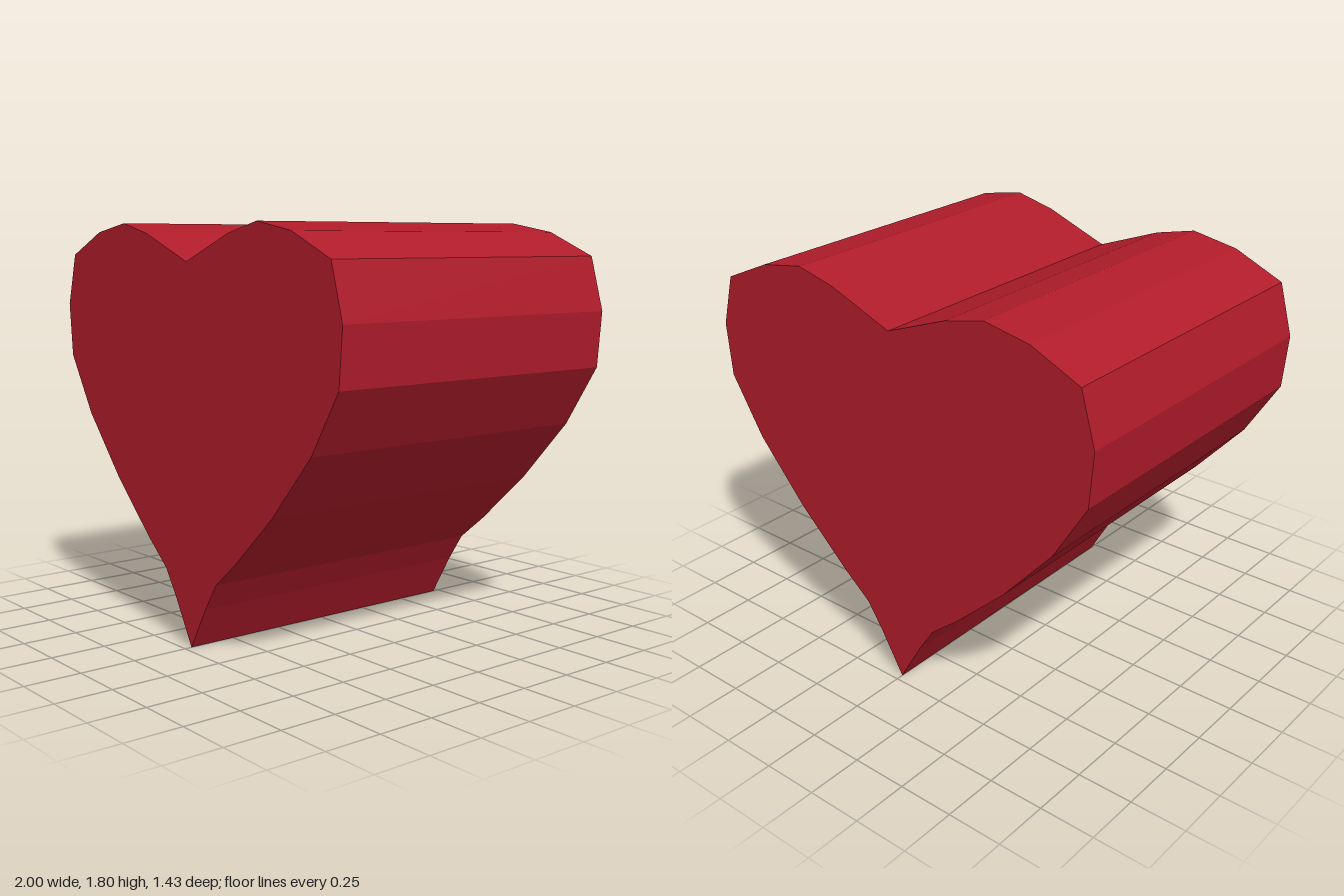
import * as THREE from 'three';

export function createModel() {
  const group = new THREE.Group();
  group.name = 'heart';
  const depth = 1.435;

  // Half outline, from the top notch around the lobe to the bottom tip
  const half = [
    [0, 1.64], [0.3, 1.755], [0.49, 1.8], [0.705, 1.762], [0.935, 1.66],
    [1, 1.43], [0.98, 1.19], [0.82, 0.93], [0.58, 0.66], [0.33, 0.427],
    [0.19, 0.312], [0.11, 0.19], [0, 0],
  ];
  const mirrored = half.slice(1, -1).reverse().map(([x, y]) => [-x, y]);
  const outline = [...half, ...mirrored].map(([x, y]) => new THREE.Vector2(x, y));

  // Solid faceted body, centred front to back
  const geometry = new THREE.ExtrudeGeometry(new THREE.Shape(outline), {
    depth, steps: 1, bevelEnabled: false,
  });
  geometry.translate(0, 0, -depth / 2);

  const material = new THREE.MeshStandardMaterial({ color: 0xb01c2a, flatShading: true });
  const body = new THREE.Mesh(geometry, material);
  body.name = 'heartBody';
  group.add(body);
  return group;
}
